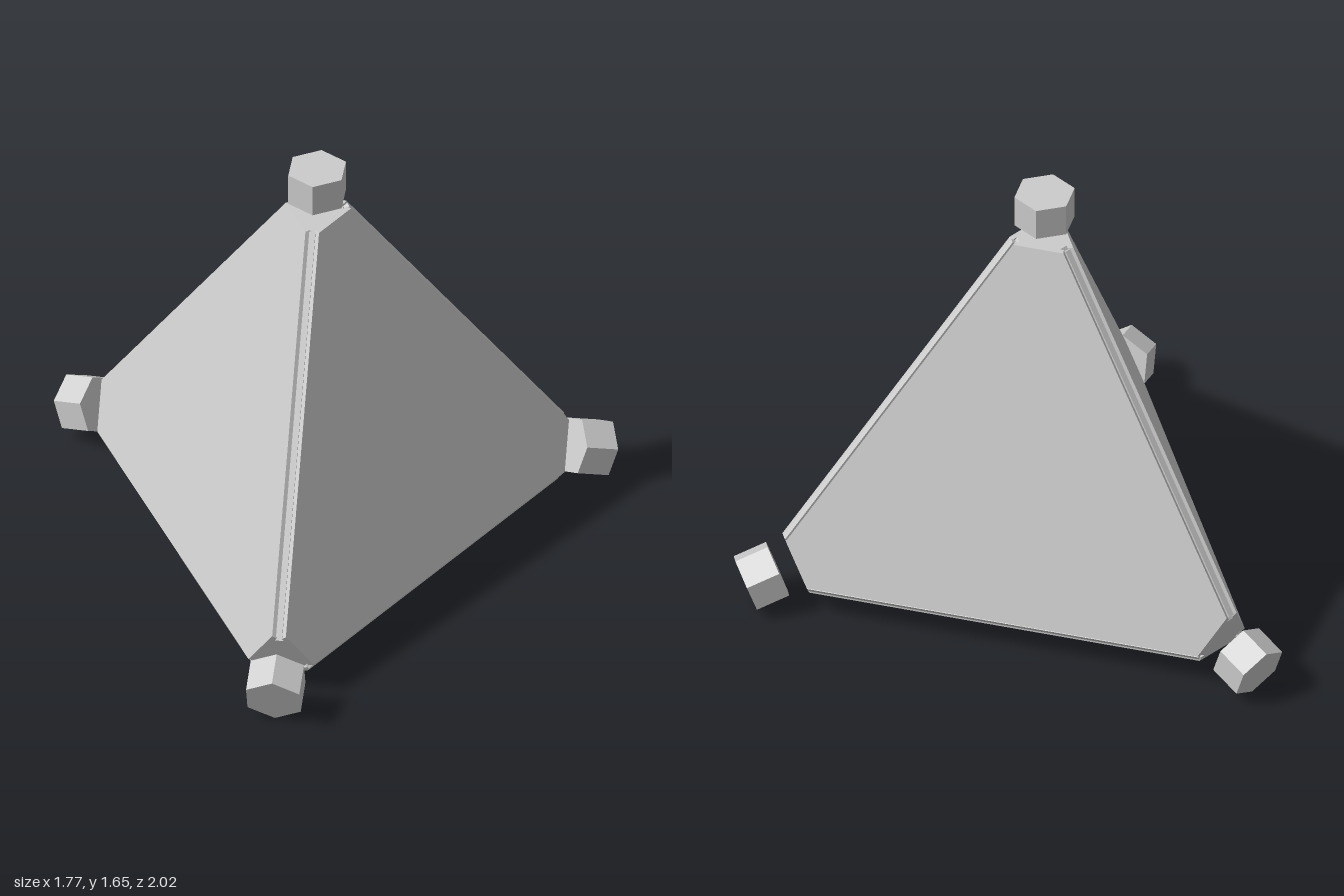
import * as THREE from 'three';
import { ConvexGeometry } from 'three/addons/geometries/ConvexGeometry.js';

const CUT = 0.966;    // distance from the centre to the flat corner cuts
const OUTER = 0.399;  // distance to the outside of the panels
const INNER = 0.38;   // distance to the inside of the panels
const V = (x, y, z) => new THREE.Vector3(x, y, z);

// Directions from the centre to the four corners of a regular tetrahedron
const corners = [V(0, 1, 0)];
for (let i = 0; i < 3; i++) {
  const a = Math.PI + (i * 2 * Math.PI) / 3;
  const k = Math.sqrt(8) / 3;
  corners.push(V(k * Math.cos(a), -1 / 3, k * Math.sin(a)));
}

// Triangle with clipped tips on the face opposite corner i: depth d, inradius r
function clippedTriangle(i, d, r) {
  const n = corners[i].clone().negate();
  const tip = (CUT - d / 3) / (Math.sqrt(8) / 3);
  const half = (2 * r - tip) * Math.tan(Math.PI / 6);
  const points = [];
  corners.forEach((c, j) => {
    if (j === i) return;
    const u = c.clone().projectOnPlane(n).normalize();
    const w = n.clone().cross(u);
    for (const s of [-1, 1]) {
      points.push(n.clone().multiplyScalar(d).addScaledVector(u, tip).addScaledVector(w, s * half));
    }
  });
  return points;
}

export function createModel() {
  const group = new THREE.Group();
  group.name = 'tetrahedron';
  const material = new THREE.MeshStandardMaterial({ color: 0xcccccc, flatShading: true });
  const body = new THREE.Group();
  body.name = 'body';
  body.position.set(0.243, 0.489, 0);
  group.add(body);

  function add(name, geometry) {
    const mesh = new THREE.Mesh(geometry, material);
    mesh.name = name;
    body.add(mesh);
    return mesh;
  }

  // Solid core, slightly recessed along the edges
  add('core', new ConvexGeometry([0, 1, 2, 3].flatMap((i) => clippedTriangle(i, INNER, 0.51))));

  corners.forEach((axis, i) => {
    // Face panel
    add('facePanel', new ConvexGeometry([
      ...clippedTriangle(i, OUTER, 0.522),
      ...clippedTriangle(i, INNER, 0.522),
    ]));

    // Hexagonal cap floating beyond the corner
    const cap = add('cornerCap', new THREE.CylinderGeometry(0.11, 0.11, 0.125, 6));
    const z = corners[(i + 1) % 4].clone().projectOnPlane(axis).normalize();
    cap.quaternion.setFromRotationMatrix(new THREE.Matrix4().makeBasis(axis.clone().cross(z), axis, z));
    cap.position.copy(axis).multiplyScalar(1.096);

    // Raised strip in the groove along each edge
    for (let j = i + 1; j < 4; j++) {
      const out = axis.clone().add(corners[j]).normalize();
      const along = axis.clone().sub(corners[j]).normalize();
      const strip = add('edgeStrip', new THREE.BoxGeometry(0.022, 1.44, 0.04));
      strip.quaternion.setFromRotationMatrix(new THREE.Matrix4().makeBasis(along.clone().cross(out), along, out));
      strip.position.copy(out).multiplyScalar(0.635);
    }
  });

  return group;
}
